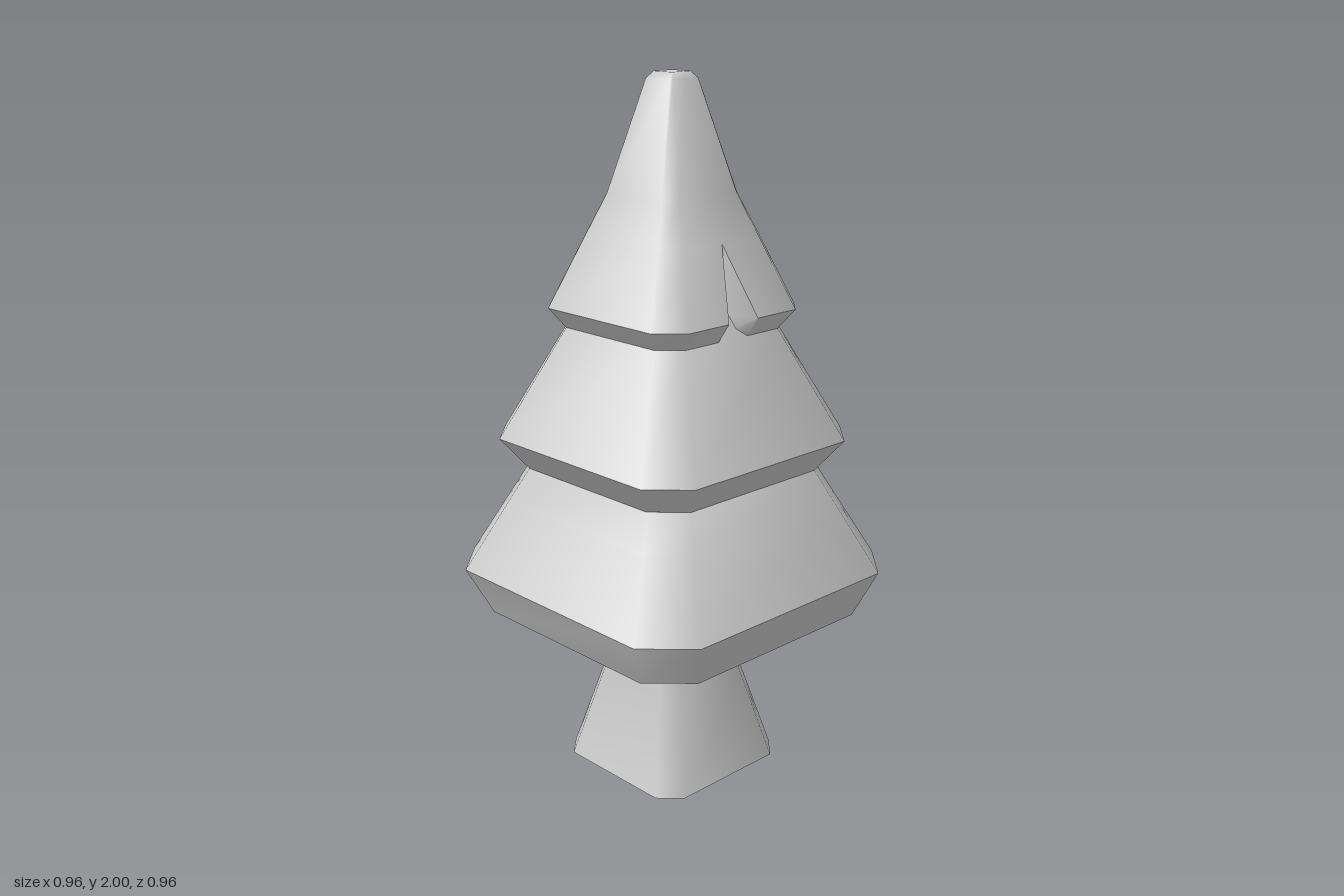
import * as THREE from 'three';
import { toCreasedNormals } from 'three/addons/utils/BufferGeometryUtils.js';

const CREASE = 0.865;

// Square with chamfered corners: half width w, flat half length c, counter-clockwise from above.
// notch = { at, pts }: extra [x, z] points inserted at one side.
function ring(y, w, c = w * 0.747, notch = null) {
  const p = [[-c, w], [c, w], [w, c], [w, -c], [c, -w], [-c, -w], [-w, -c], [-w, c]];
  if (notch) p.splice(notch.at, 0, ...notch.pts);
  return p.map(([x, z]) => new THREE.Vector3(x, y, z));
}

// Skin a stack of rings as an open shell; closeTop adds a lid on the last ring.
function loft(name, rings, closeTop = false) {
  const out = [];
  const tri = (a, b, c) => {
    const area = b.clone().sub(a).cross(c.clone().sub(a)).length();
    if (area > 1e-7) for (const v of [a, b, c]) out.push(v.x, v.y, v.z);
  };
  for (let k = 0; k + 1 < rings.length; k++) {
    const lo = rings[k], hi = rings[k + 1], n = lo.length;
    for (let i = 0; i < n; i++) {
      const j = (i + 1) % n;
      tri(lo[i], lo[j], hi[j]);
      tri(lo[i], hi[j], hi[i]);
    }
  }
  if (closeTop) {
    const r = rings[rings.length - 1];
    const flat = r.map(v => new THREE.Vector2(v.x, -v.z));
    for (const [a, b, c] of THREE.ShapeUtils.triangulateShape(flat, [])) tri(r[a], r[b], r[c]);
  }

  const geo = new THREE.BufferGeometry();
  geo.setAttribute('position', new THREE.Float32BufferAttribute(out, 3));
  const mesh = new THREE.Mesh(
    toCreasedNormals(geo, CREASE),
    new THREE.MeshStandardMaterial({ color: 0xcccccc, side: THREE.DoubleSide })
  );
  mesh.name = name;
  return mesh;
}

export function createModel() {
  const group = new THREE.Group();
  group.name = 'pineTree';

  // Trunk: flared at the foot, open below, running up inside the foliage
  group.add(loft('trunk', [
    ring(0, 0.238, 0.18), ring(0.28, 0.162, 0.118), ring(0.48, 0.145, 0.105), ring(0.68, 0.135, 0.098),
  ]));

  // Lower tier: open underneath, with a split in the +x face.
  // The hem is shifted slightly so that the rim on the split side shades softly.
  const sideNotch = (x, inner, innerZ) => ({ at: 3, pts: [[x, -0.1], [inner, innerZ], [x, -0.245]] });
  const sideShut = x => ({ at: 3, pts: [[x, -0.15], [x, -0.15], [x, -0.15]] });
  const hem = ring(0.475, 0.42, 0.312, sideNotch(0.42, 0.352, -0.163));
  hem.forEach(v => { v.x += 0.004; });
  group.add(loft('lowerFoliage', [
    hem,
    ring(0.61, 0.478, 0.357, sideNotch(0.478, 0.366, -0.155)),
    ring(0.81, 0.376, 0.281, sideShut(0.376)),
    ring(0.91, 0.325, 0.243, sideShut(0.325)),
  ]));

  // Middle tier, running up inside the top tier
  group.add(loft('middleFoliage', [
    ring(0.91, 0.325), ring(1.0, 0.39), ring(1.315, 0.235), ring(1.45, 0.169),
  ]));

  // Top tier with an upright V-shaped split at the front
  const frontNotch = w => ({ at: 1, pts: [[-0.055, w], [0, 0.19], [0.055, w]] });
  const frontShut = w => ({ at: 1, pts: [[0, w], [0, w], [0, w]] });
  group.add(loft('topFoliage', [
    ring(1.315, 0.235, 0.176, frontNotch(0.235)),
    ring(1.37, 0.273, 0.205, frontNotch(0.273)),
    ring(1.565, 0.19, 0.144, frontShut(0.19)),
    ring(1.68, 0.14, 0.108, frontShut(0.14)),
    ring(1.982, 0.052, 0.046, frontShut(0.052)),
    ring(2.0, 0.036, 0.032, frontShut(0.036)),
  ], true));

  return group;
}
